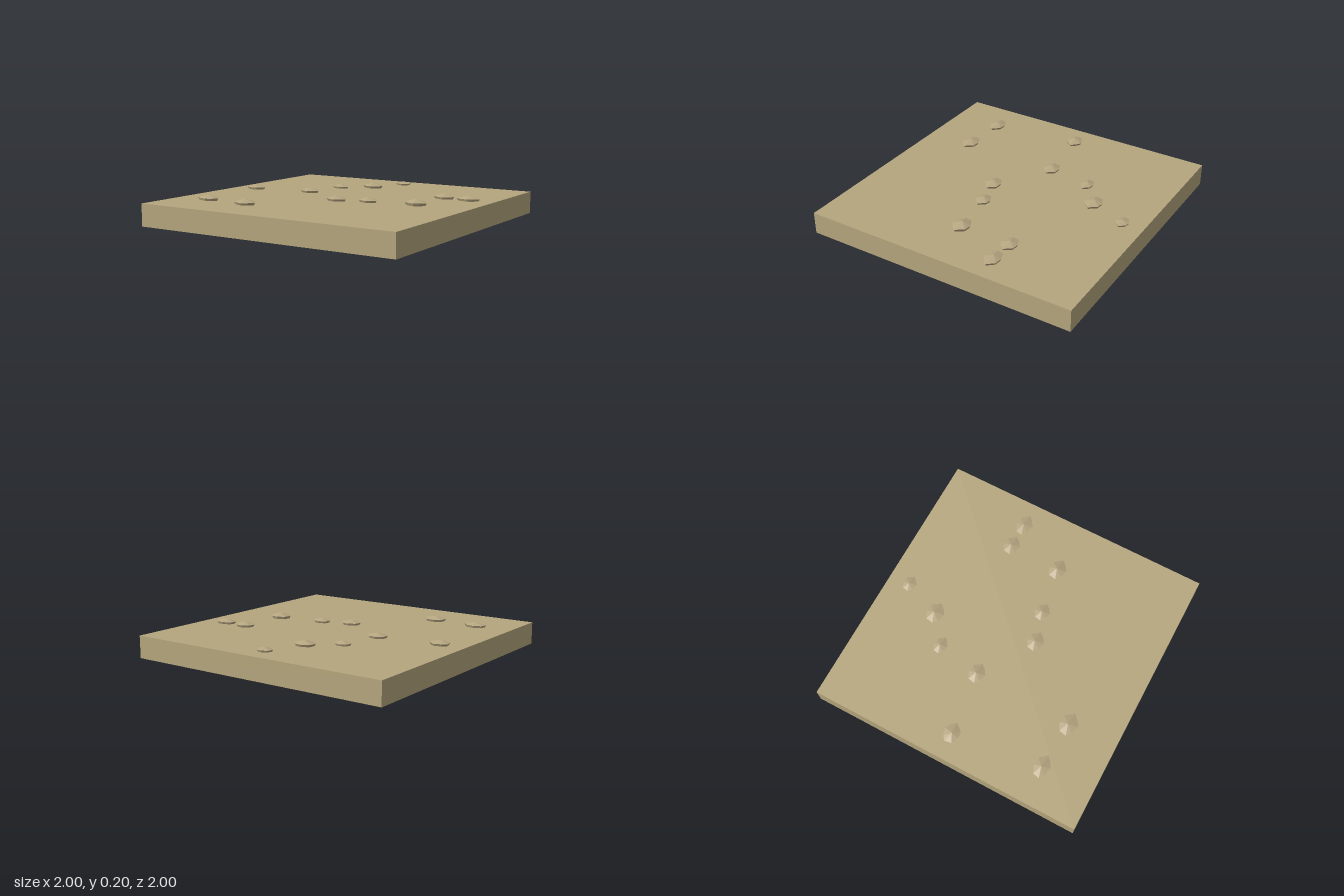
import * as THREE from 'three';

const sand = new THREE.MeshStandardMaterial({ color: 0xb5a67d });
sand.name = 'sand';
const stone = new THREE.MeshStandardMaterial({ color: 0xb5a580, flatShading: true });
stone.name = 'stone';

const TOP = 0.16;

// Unit outline of a stone seen from above (x, z), pointed towards +x
const OUTLINE = [[1, 0.05], [0.55, 0.65], [0.12, 1], [-0.6, 0.7], [-1, 0.3], [-0.88, -0.55], [-0.2, -0.95], [0.45, -0.85]];

// x, z, width, depth, height, flip in z
const STONES = [
  [0.01, -0.84, 0.12, 0.10, 0.027, 1],
  [-0.10, -0.565, 0.16, 0.13, 0.037, 1],
  [-0.295, -0.41, 0.13, 0.095, 0.031, 1],
  [-0.355, -0.085, 0.15, 0.12, 0.035, 1],
  [-0.81, -0.03, 0.15, 0.12, 0.034, -1],
  [0.045, 0.165, 0.15, 0.12, 0.035, 1],
  [0.265, 0.105, 0.135, 0.11, 0.034, 1],
  [0.61, 0.05, 0.16, 0.13, 0.044, 1],
  [0.625, -0.335, 0.15, 0.12, 0.035, 1],
  [0.815, -0.33, 0.17, 0.115, 0.035, 1],
  [-0.725, 0.62, 0.17, 0.115, 0.035, 1],
  [-0.38, 0.645, 0.17, 0.13, 0.036, 1],
];

// Faceted stone: narrower foot, wide middle ring, off-centre peak
function stoneGeometry(w, d, h, flip) {
  const outline = flip > 0 ? OUTLINE : OUTLINE.map(([x, z]) => [x, -z]).reverse();
  const ring = (s, y) => outline.map(([x, z]) => [x * s * w / 2, y, z * s * d / 2]);
  const foot = ring(0.85, -0.004);
  const middle = ring(1, h * 0.45);
  const peak = [-0.05 * w, h, -0.04 * d * flip];
  const p = [];
  for (let i = 0; i < outline.length; i++) {
    const j = (i + 1) % outline.length;
    p.push(...foot[i], ...middle[i], ...foot[j]);
    p.push(...foot[j], ...middle[i], ...middle[j]);
    p.push(...middle[i], ...peak, ...middle[j]);
  }
  const g = new THREE.BufferGeometry();
  g.setAttribute('position', new THREE.Float32BufferAttribute(p, 3));
  g.computeVertexNormals();
  return g;
}

export function createModel() {
  const model = new THREE.Group();
  model.name = 'groundTile';

  // Square ground slab
  const slab = new THREE.Mesh(new THREE.BoxGeometry(2, TOP, 2), sand);
  slab.name = 'slab';
  slab.position.y = TOP / 2;
  model.add(slab);

  // Scattered stones
  const stones = new THREE.Group();
  stones.name = 'stones';
  STONES.forEach(([x, z, w, d, h, flip], i) => {
    const m = new THREE.Mesh(stoneGeometry(w, d, h, flip), stone);
    m.name = `stone${i + 1}`;
    m.position.set(x, TOP, z);
    stones.add(m);
  });
  model.add(stones);
  return model;
}
